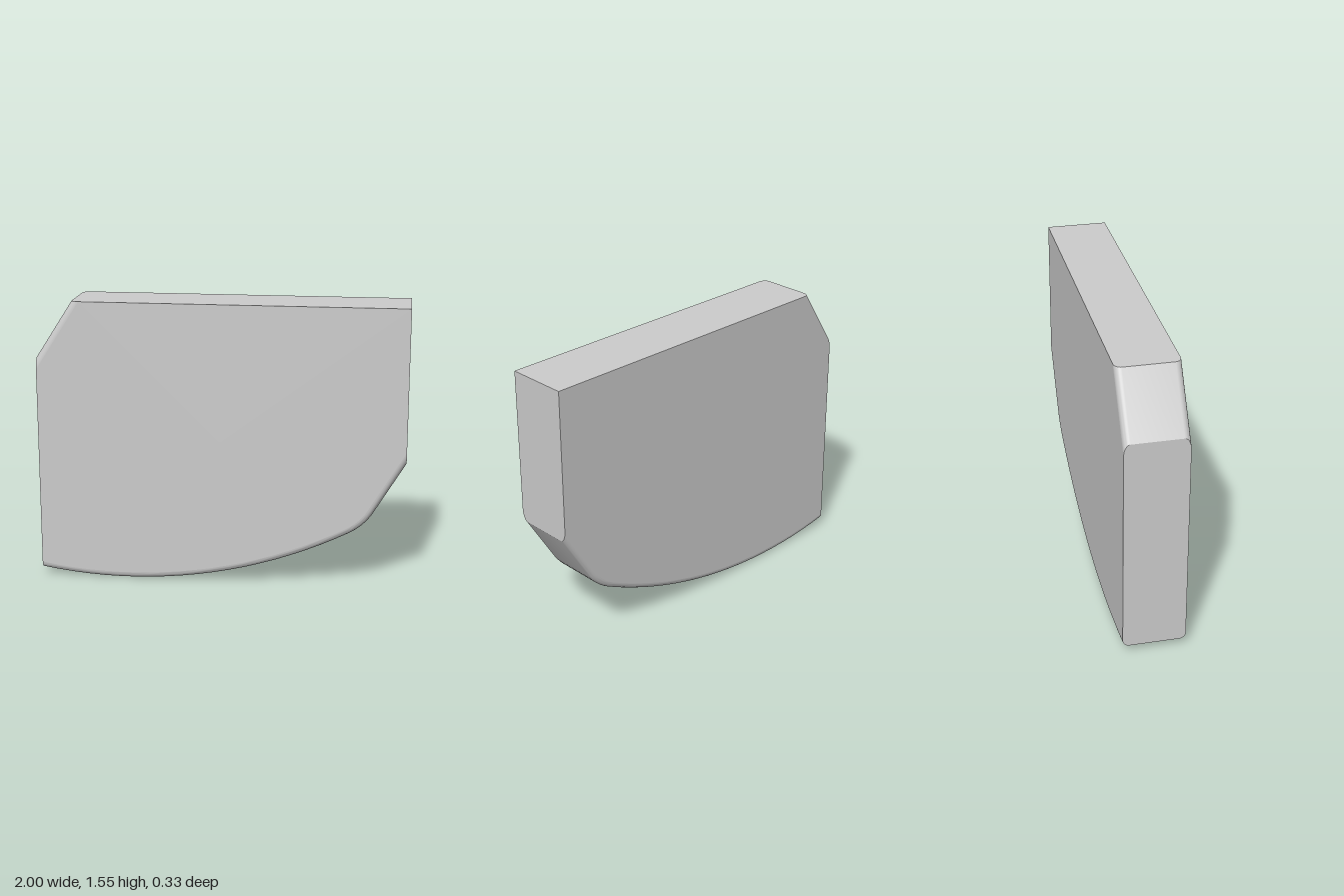
import * as THREE from 'three';
import { toCreasedNormals } from 'three/addons/utils/BufferGeometryUtils.js';

const HALF = 0.167, ROUND = 0.035, TOP = 1.55;
const BIG = 2.65, SMALL = 0.33;            // radii of the belly and of its corner
const A1 = THREE.MathUtils.degToRad(28), A2 = THREE.MathUtils.degToRad(59);
const CX = -0.54, CY = BIG;                // belly arc centre

// Counter-clockwise outline; the curved underside and the chamfer move inward by d
function outline(d) {
  const pts = [];
  const a0 = Math.asin((-1 - CX) / (BIG - d));
  for (let i = 0; i <= 20; i++) {
    const a = a0 + (A1 - a0) * i / 20;
    pts.push([CX + (BIG - d) * Math.sin(a), CY - (BIG - d) * Math.cos(a)]);
  }
  const sx = CX + (BIG - SMALL) * Math.sin(A1), sy = CY - (BIG - SMALL) * Math.cos(A1);
  for (let i = 1; i <= 6; i++) {
    const a = A1 + (A2 - A1) * i / 6;
    pts.push([sx + (SMALL - d) * Math.sin(a), sy - (SMALL - d) * Math.cos(a)]);
  }
  const [ex, ey] = pts[pts.length - 1];
  pts.push([1, ey + (1 - ex) * Math.tan(A2)], [1, TOP]);
  const len = Math.hypot(0.2, 0.31);
  pts.push([-0.8 + d * len / 0.31, TOP], [-1, 1.24 - d * len / 0.2]);
  return pts;
}

function geometryFrom(positions) {
  const g = new THREE.BufferGeometry();
  g.setAttribute('position', new THREE.Float32BufferAttribute(positions, 3));
  return g;
}

export function createModel() {
  const group = new THREE.Group();
  group.name = 'slab';
  const material = new THREE.MeshStandardMaterial({ color: 0xcccccc });

  // Cross-sections from back to front, rounding over at both faces
  const layers = [];
  const steps = 8;
  for (const side of [-1, 1]) {
    for (let i = 0; i <= steps; i++) {
      const a = (side < 0 ? steps - i : i) / steps * Math.PI / 2;
      const z = side * (HALF - ROUND + ROUND * Math.sin(a));
      layers.push(outline(ROUND * (1 - Math.cos(a))).map(([x, y]) => [x, y, z]));
    }
  }

  // Rim joining the cross-sections
  const rim = [];
  const n = layers[0].length;
  for (let k = 0; k < layers.length - 1; k++) {
    for (let i = 0; i < n; i++) {
      const j = (i + 1) % n;
      const a = layers[k][i], b = layers[k][j], c = layers[k + 1][j], d = layers[k + 1][i];
      rim.push(...a, ...b, ...c, ...a, ...c, ...d);
    }
  }
  const rimMesh = new THREE.Mesh(toCreasedNormals(geometryFrom(rim), 0.4), material);
  rimMesh.name = 'roundedRim';
  group.add(rimMesh);

  // Flat front and back faces as fans around an inner point
  for (const [name, loop, front] of [['backFace', layers[0], false], ['frontFace', layers[layers.length - 1], true]]) {
    const face = [];
    const centre = [0, 0.8, loop[0][2]];
    for (let i = 0; i < n; i++) {
      const p = loop[i], q = loop[(i + 1) % n];
      face.push(...centre, ...(front ? p : q), ...(front ? q : p));
    }
    const g = geometryFrom(face);
    g.computeVertexNormals();
    const mesh = new THREE.Mesh(g, material);
    mesh.name = name;
    group.add(mesh);
  }
  return group;
}
